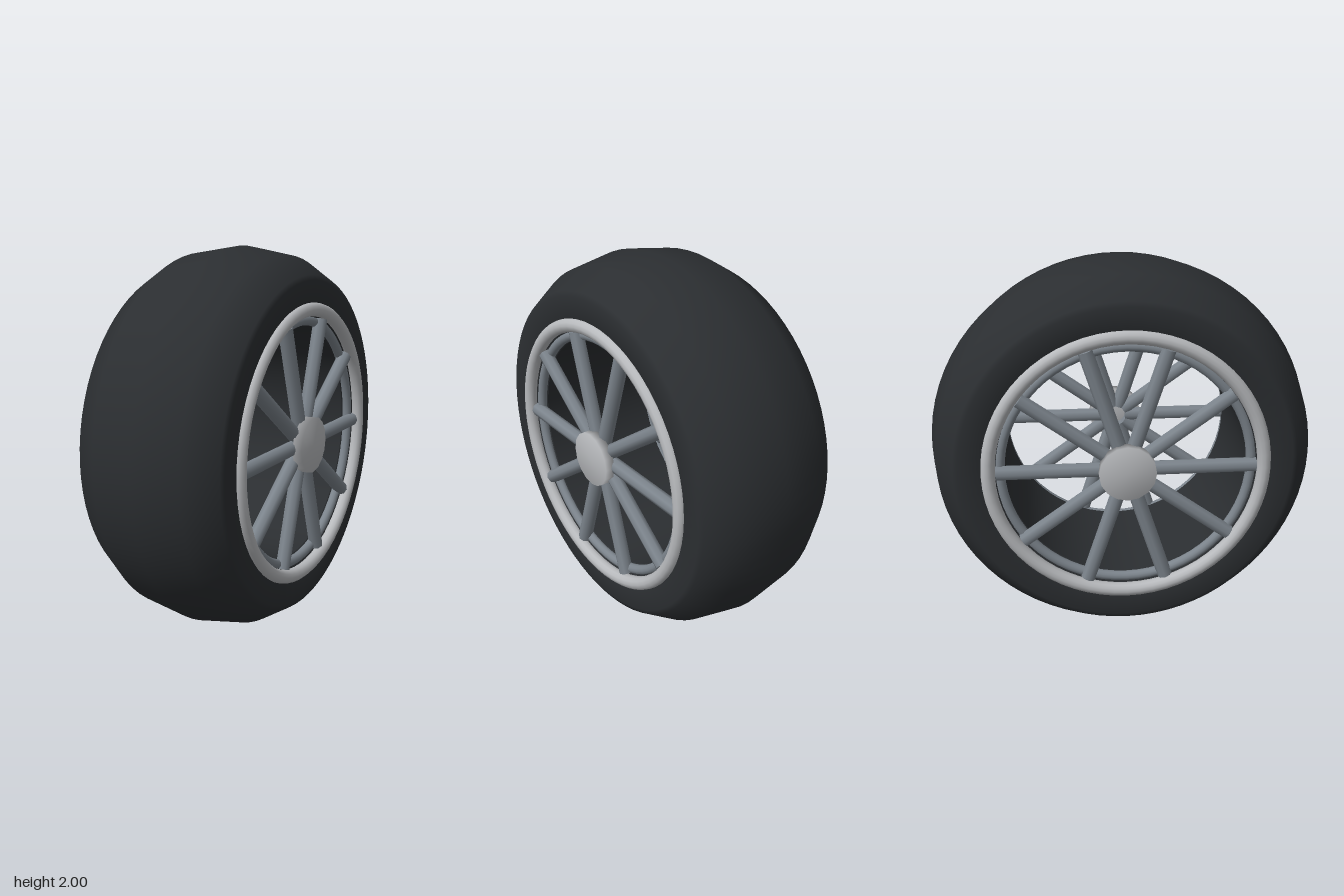
import * as THREE from 'three';
import { toCreasedNormals } from 'three/addons/utils/BufferGeometryUtils.js';

const SPOKES = 10;

// Lathe turned so that its axis lies along x; profile points are [radius, x]
function latheX(profile, segments) {
  const points = profile.map(([r, x]) => new THREE.Vector2(r, x));
  return new THREE.LatheGeometry(points, segments).rotateZ(-Math.PI / 2);
}

function ringX(radius, tube, x) {
  return new THREE.TorusGeometry(radius, tube, 12, 64).rotateY(Math.PI / 2).translate(x, 0, 0);
}

export function createModel() {
  const rubber = new THREE.MeshStandardMaterial({ color: 0x2b2e31, side: THREE.DoubleSide });
  const brightMetal = new THREE.MeshStandardMaterial({ color: 0xb8babd });
  const darkMetal = new THREE.MeshStandardMaterial({ color: 0x7c848c });

  const wheel = new THREE.Group();
  wheel.name = 'wheel';
  wheel.position.y = 1;

  const add = (parent, name, geometry, material) => {
    const mesh = new THREE.Mesh(geometry, material);
    mesh.name = name;
    parent.add(mesh);
    return mesh;
  };

  // Tyre: crowned tread, flat sidewalls and an open inner barrel
  const half = [[0.96, 0.24], [0.865, 0.39], [0.84, 0.4], [0.69, 0.395], [0.61, 0.33]];
  const profile = [
    ...half.map(([r, x]) => [r, -x]).reverse(),
    [1, 0],
    ...half,
    [0.61, -0.33],
  ];
  add(wheel, 'tyre', toCreasedNormals(latheX(profile, 72), 0.7), rubber);

  // Each face of the wheel: rims, hub cap and spokes
  const rimGeo = ringX(0.693, 0.036, 0.39);
  const innerRimGeo = ringX(0.635, 0.026, 0.35);
  const hubGeo = latheX([[0, 0.39], [0.145, 0.39], [0.145, 0.44], [0, 0.44]], 16);
  const spokeGeo = new THREE.CylinderGeometry(0.038, 0.038, 0.6, 8).translate(0.37, 0.355, 0);

  for (const side of ['left', 'right']) {
    const face = new THREE.Group();
    face.name = side + 'Face';
    if (side === 'right') face.rotation.y = Math.PI;
    add(face, 'outerRim', rimGeo, brightMetal);
    add(face, 'innerRim', innerRimGeo, darkMetal);
    add(face, 'hubCap', hubGeo, brightMetal);
    for (let i = 0; i < SPOKES; i++) {
      const spoke = add(face, 'spoke', spokeGeo, darkMetal);
      spoke.rotation.x = ((i + 0.5) / SPOKES) * Math.PI * 2;
    }
    wheel.add(face);
  }

  const model = new THREE.Group();
  model.name = 'spokedWheel';
  model.add(wheel);
  return model;
}
